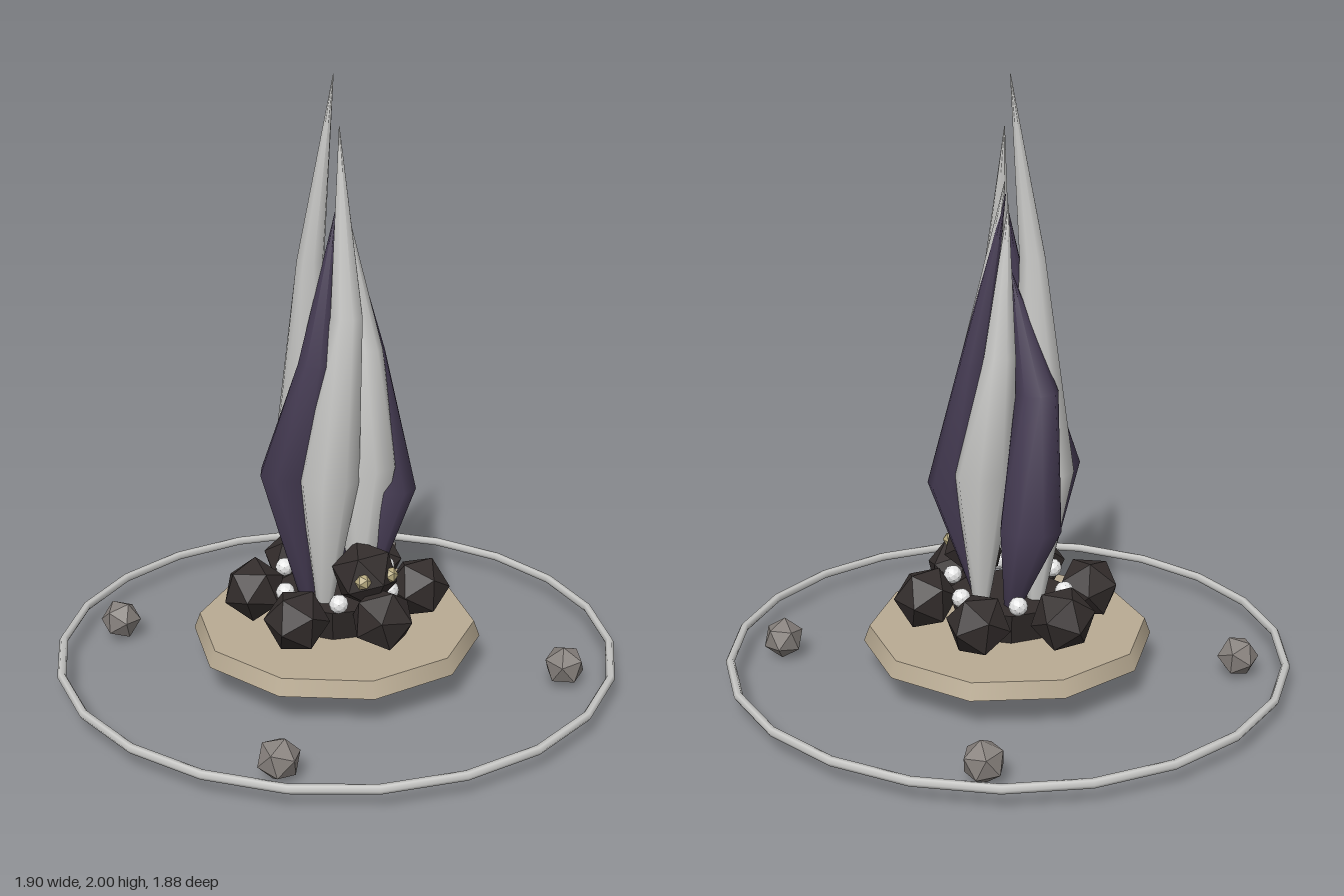
import * as THREE from 'three';

const mat = (name, color, flatShading = false) => {
  const m = new THREE.MeshStandardMaterial({ color, flatShading });
  m.name = name;
  return m;
};

// Spindle flame: horizontal rings [y, distance from axis, angle in degrees, ring radius]
function flameGeometry(rings, sides = 8) {
  const pos = [], index = [];
  for (const [y, dist, deg, r] of rings) {
    const a = THREE.MathUtils.degToRad(deg);
    for (let j = 0; j < sides; j++) {
      const t = a + (j / sides) * Math.PI * 2;
      pos.push(dist * Math.cos(a) + r * Math.cos(t), y, dist * Math.sin(a) + r * Math.sin(t));
    }
  }
  for (let i = 0; i < rings.length - 1; i++) {
    for (let j = 0; j < sides; j++) {
      const a = i * sides + j, b = i * sides + (j + 1) % sides;
      index.push(a, a + sides, b + sides, a, b + sides, b);
    }
  }
  const g = new THREE.BufferGeometry();
  g.setAttribute('position', new THREE.Float32BufferAttribute(pos, 3));
  g.setIndex(index);
  g.computeVertexNormals();
  return g;
}

export function createModel() {
  const group = new THREE.Group();
  const silver = mat('pale grey', 0xc8c8c6);
  const violet = mat('dark violet', 0x463c54);
  const coal = mat('charcoal', 0x332d2c, true);
  const rock = mat('grey stone', 0x86807c, true);
  const sand = mat('sand', 0xb9ab93);
  const eyeMat = mat('eye yellow', 0xb8ab80, true);
  const white = mat('white ember', 0xe6e6e6, true);

  const add = (name, geo, material, x = 0, y = 0, z = 0) => {
    const m = new THREE.Mesh(geo, material);
    m.name = name;
    m.position.set(x, y, z);
    group.add(m);
    return m;
  };

  // Thin ground ring
  const ring = add('groundRing', new THREE.TorusGeometry(0.935, 0.015, 6, 22), silver, 0, 0.075, 0);
  ring.rotation.x = Math.PI / 2;

  // Ten-sided plinth, corners on the x axis
  const plinth = add('plinth', new THREE.CylinderGeometry(0.468, 0.488, 0.054, 10), sand, 0, 0.139, 0);
  plinth.rotation.y = Math.PI / 10 * 5;

  // Four pebbles between ring and plinth
  const pebble = new THREE.IcosahedronGeometry(0.07, 0);
  [[-1, -1], [1, -1], [1, 1], [-1, 1]].forEach(([sx, sz], i) => {
    add('pebble', pebble, rock, sx * 0.55, 0.074, sz * 0.55).rotation.set(0.4 + i, 0.9 * i, 0.3);
  });

  // Coal bed and surrounding coals
  add('coalBed', new THREE.CylinderGeometry(0.2, 0.17, 0.11, 10), coal, 0, 0.22, 0);
  const lump = new THREE.IcosahedronGeometry(0.108, 0);
  for (let i = 0; i < 6; i++) {
    const a = Math.PI / 6 + i * Math.PI / 3;
    add('coal', lump, coal, 0.277 * Math.cos(a), 0.275, 0.28 * Math.sin(a))
      .rotation.set(0.5 * i, 0.8 * i, 0.35 * i);
  }

  // White embers between the coals
  const ember = new THREE.IcosahedronGeometry(0.032, 1);
  for (let i = 0; i < 6; i++) {
    const a = i * Math.PI / 3;
    add('ember', ember, white, 0.2 * Math.cos(a), 0.31, 0.2 * Math.sin(a));
  }

  // Head with two eyes
  add('head', new THREE.IcosahedronGeometry(0.112, 0), coal, 0, 0.395, 0.175).rotation.x = 0.55;
  for (const s of [-1, 1]) {
    add('eye', new THREE.IcosahedronGeometry(0.028, 0), eyeMat, s * 0.052, 0.405, 0.245);
  }

  // Flames: [material, angle, belly y, belly distance, belly radius, shoulder y, distance, radius, tip y]
  const flames = [
    [silver, 230, 0.72, 0.12, 0.10, 1.42, 0.085, 0.045, 2.00],
    [silver, 133, 0.72, 0.13, 0.10, 1.25, 0.085, 0.055, 1.84],
    [silver, 63, 0.75, 0.12, 0.10, 1.12, 0.09, 0.06, 1.67],
    [silver, 2, 0.72, 0.10, 0.10, 1.12, 0.08, 0.055, 1.60],
    [violet, 190, 0.72, 0.168, 0.098, 1.10, 0.11, 0.06, 1.58],
    [violet, 288, 0.58, 0.20, 0.105, 1.00, 0.115, 0.07, 1.38],
    [violet, 45, 0.66, 0.18, 0.088, 1.10, 0.12, 0.05, 1.63],
  ];
  for (const [m, deg, y1, d1, r1, y2, d2, r2, tip] of flames) {
    add(m === silver ? 'paleFlame' : 'darkFlame', flameGeometry([
      [0.27, 0.1, deg + 12, 0.03],
      [y1, d1, deg, r1],
      [y2, d2, deg - 33, r2],
      [tip, 0.012, deg - 60, 0.001],
    ]), m);
  }
  return group;
}
